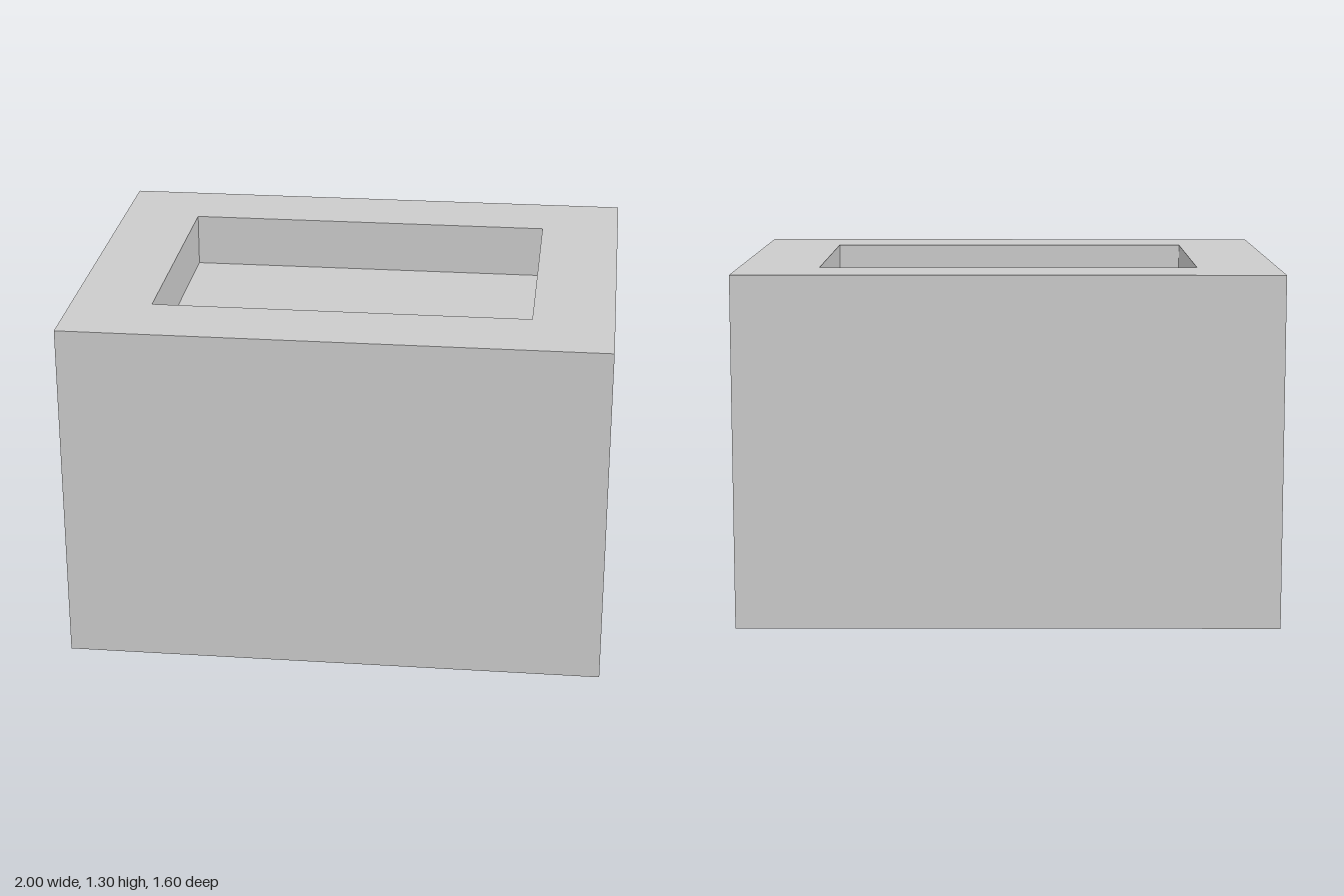
import * as THREE from 'three';

// Rectangular ring of corners, counter-clockwise seen from above
const ring = (hx, hz, y) => [[hx, y, hz], [hx, y, -hz], [-hx, y, -hz], [-hx, y, hz]];

// Closed skin through successive rings, capped at both ends, with flat faces
function skin(rings) {
  const pos = [];
  const quad = (a, b, c, d) => pos.push(...a, ...b, ...c, ...a, ...c, ...d);
  for (let r = 0; r < rings.length - 1; r++) {
    const lo = rings[r], hi = rings[r + 1];
    for (let i = 0; i < 4; i++) {
      const j = (i + 1) % 4;
      quad(lo[i], lo[j], hi[j], hi[i]);
    }
  }
  quad(...[...rings[0]].reverse());
  quad(...rings[rings.length - 1]);
  const geo = new THREE.BufferGeometry();
  geo.setAttribute('position', new THREE.Float32BufferAttribute(pos, 3));
  geo.computeVertexNormals();
  return geo;
}

export function createModel() {
  const group = new THREE.Group();
  group.name = 'recessedBlock';

  const height = 1.3, recessDepth = 0.2;

  // Solid block: outer walls, flat rim, recess walls and recess floor
  const block = new THREE.Mesh(
    skin([
      ring(1, 0.8, 0),
      ring(1, 0.8, height),
      ring(0.7, 0.5, height),
      ring(0.7, 0.5, height - recessDepth),
    ]),
    new THREE.MeshStandardMaterial({ color: 0xcccccc, flatShading: true })
  );
  block.name = 'blockWithRecess';
  group.add(block);

  return group;
}
